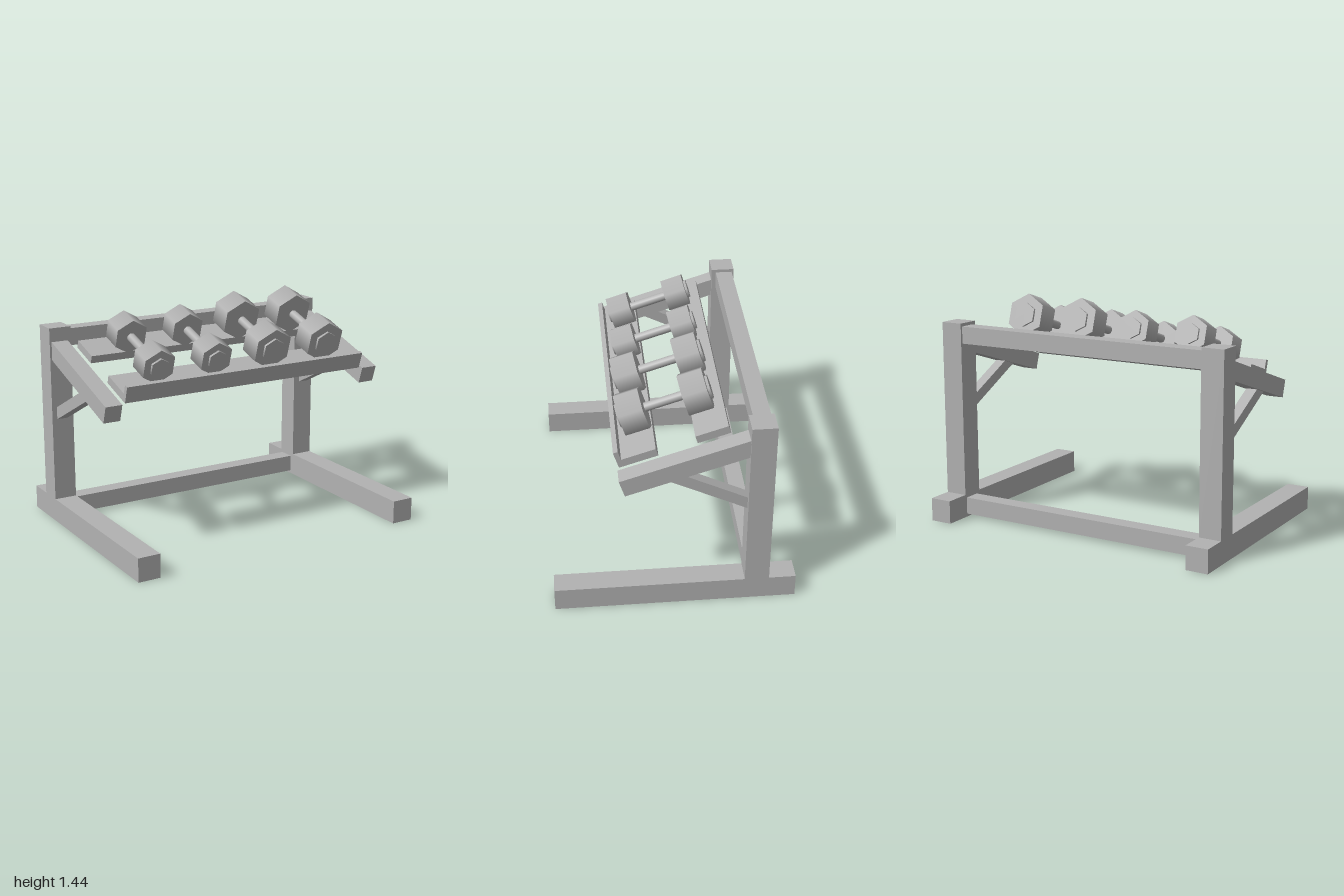
import * as THREE from 'three';

const TILT = 0.31; // slope of the rack, rising towards the back

export function createModel() {
  const root = new THREE.Group();
  root.name = 'dumbbellRack';
  const steel = new THREE.MeshStandardMaterial({ color: 0xb2b2b2 });
  steel.name = 'grey steel';

  const add = (parent, name, geometry, x, y, z) => {
    const mesh = new THREE.Mesh(geometry, steel);
    mesh.name = name;
    mesh.position.set(x, y, z);
    parent.add(mesh);
    return mesh;
  };
  // Box given by its centre x, width, and y and z ranges
  const bar = (parent, name, x, w, y0, y1, z0, z1) =>
    add(parent, name, new THREE.BoxGeometry(w, y1 - y0, z1 - z0), x, (y0 + y1) / 2, (z0 + z1) / 2);

  // Tilted frame: origin at the upper front tip of the arms, -z runs up the slope
  const rack = new THREE.Group();
  rack.name = 'tiltedRack';
  rack.position.set(0, 0.949, 0.333);
  rack.rotation.x = TILT;
  root.add(rack);

  // Side frames
  for (const [side, s] of [['left', 1], ['right', -1]]) {
    const x = s * 0.9275;
    bar(root, side + 'Foot', x, 0.145, 0, 0.15, -0.74, 0.74);
    bar(root, side + 'Upright', x, 0.145, 0.15, 1.28, -0.574, -0.424);
    bar(rack, side + 'Arm', s * 0.932, 0.11, -0.112, 0, -0.86, 0);

    // Diagonal brace from upright to arm
    const a = new THREE.Vector2(-0.47, 0.7475), b = new THREE.Vector2(0.03, 0.7475 + 0.205);
    a.y = 0.7025;
    const brace = add(root, side + 'Brace', new THREE.BoxGeometry(0.07, 0.071, a.distanceTo(b)),
      s * 0.932, (a.y + b.y) / 2, (a.x + b.x) / 2);
    brace.rotation.x = -Math.atan2(b.y - a.y, b.x - a.x);
  }

  // Crossbars between the uprights
  bar(root, 'lowerCrossbar', 0, 1.71, 0.02, 0.13, -0.56, -0.452);
  bar(root, 'upperCrossbar', 0, 1.71, 1.15, 1.26, -0.56, -0.452);

  // Trays and front lip
  bar(rack, 'frontTray', 0, 1.71, 0, 0.05, -0.252, -0.04);
  bar(rack, 'rearTray', 0, 1.71, 0, 0.05, -0.694, -0.492);
  bar(rack, 'frontLip', 0, 1.71, 0, 0.11, -0.04, -0.011);

  // Dumbbells with six-sided heads, one corner up
  const prism = (r, length, sides) => new THREE.CylinderGeometry(r, r, length, sides).rotateX(Math.PI / 2);
  const dumbbell = (x, radius, length, hubRadius, y) => {
    const bell = new THREE.Group();
    bell.name = 'dumbbell';
    bell.position.set(x, y, -0.367);
    rack.add(bell);
    add(bell, 'handle', prism(0.028, 0.28, 16), 0, 0, 0);
    for (const s of [1, -1]) {
      add(bell, 'head', prism(radius, length, 6), 0, 0, s * (0.12 + length / 2));
      add(bell, 'endCap', prism(hubRadius, 0.03, 6), 0, 0, s * (0.12 + length));
    }
  };
  for (const x of [-0.6, -0.2]) dumbbell(x, 0.1155, 0.14, 0.065, 0.154);
  for (const x of [0.2, 0.6]) dumbbell(x, 0.139, 0.15, 0.079, 0.177);

  return root;
}
